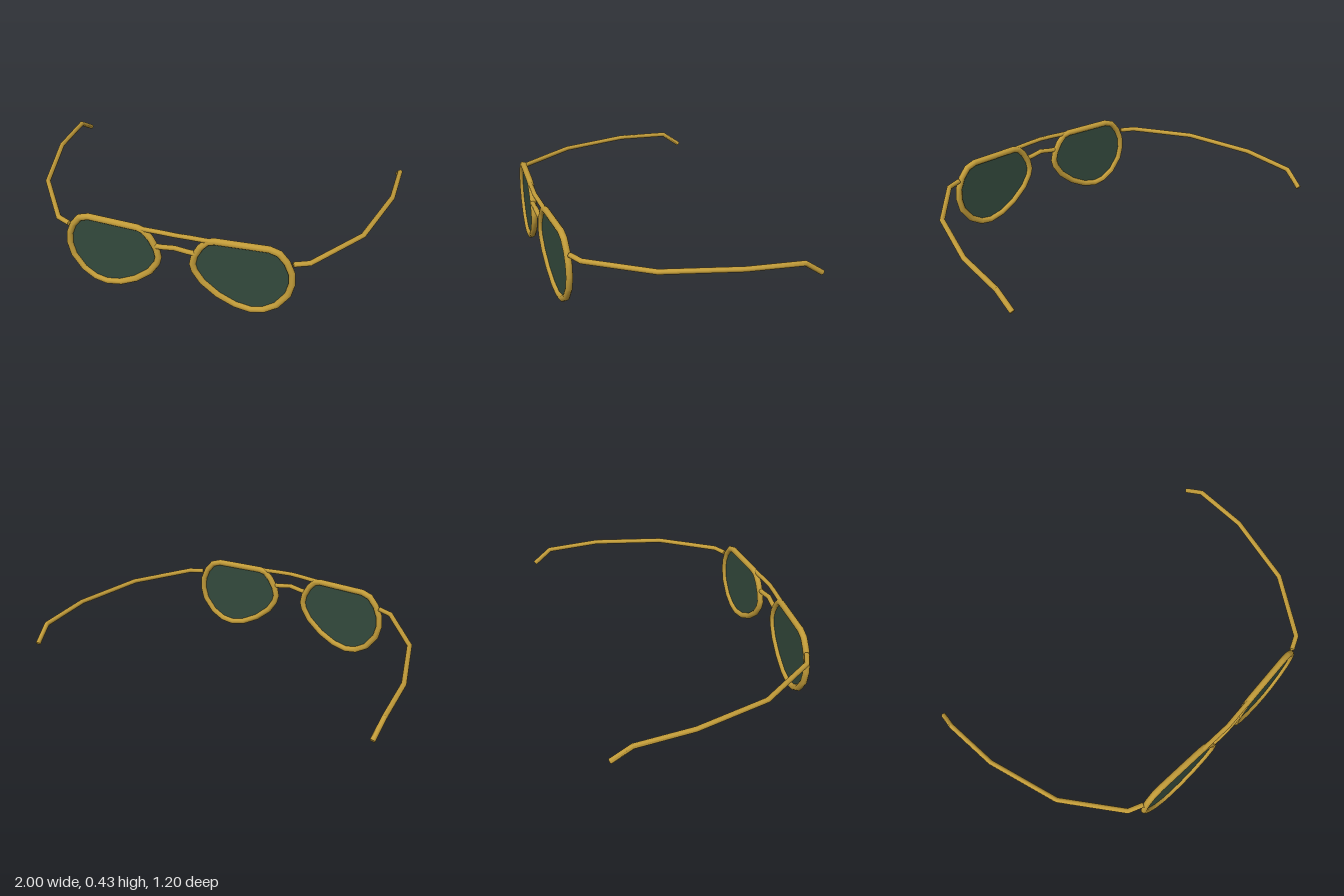
import * as THREE from 'three';
import { toCreasedNormals } from 'three/addons/utils/BufferGeometryUtils.js';

const SIDES = 12;
const V = (x, y, z) => new THREE.Vector3(x, y, z);

// The front bends gently back from the nose.
const frontZ = (x) => 0.58 - 0.06 * Math.abs(x);

// Round wire swept along straight segments with mitred corners.
function wire(points, radius, ref, closed = false) {
  const n = points.length;
  const pos = [], index = [];
  for (let i = 0; i < n; i++) {
    const p = points[i];
    let d1 = p.clone().sub(points[(i + n - 1) % n]).normalize();
    let d2 = points[(i + 1) % n].clone().sub(p).normalize();
    if (!closed && i === 0) d1 = d2.clone();
    if (!closed && i === n - 1) d2 = d1.clone();
    const t = d1.clone().add(d2).normalize();
    const u = ref.clone().addScaledVector(t, -ref.dot(t)).normalize();
    const v = t.clone().cross(u);
    const bend = d2.clone().sub(d1).normalize();
    const stretch = 1 / t.dot(d1) - 1;
    for (let j = 0; j < SIDES; j++) {
      const a = (j / SIDES) * Math.PI * 2;
      const o = u.clone().multiplyScalar(radius * Math.cos(a)).addScaledVector(v, radius * Math.sin(a));
      o.addScaledVector(bend, o.dot(bend) * stretch).add(p);
      pos.push(o.x, o.y, o.z);
    }
  }
  for (let i = 0; i < (closed ? n : n - 1); i++) {
    for (let j = 0; j < SIDES; j++) {
      const k = (j + 1) % SIDES, r = i * SIDES, s = ((i + 1) % n) * SIDES;
      index.push(r + j, r + k, s + k, r + j, s + k, s + j);
    }
  }
  if (!closed) {
    const e = (n - 1) * SIDES;
    for (let j = 1; j < SIDES - 1; j++) index.push(0, j + 1, j, e, e + j, e + j + 1);
  }
  const g = new THREE.BufferGeometry();
  g.setAttribute('position', new THREE.Float32BufferAttribute(pos, 3));
  g.setIndex(index);
  return toCreasedNormals(g, 0.56);
}

// Teardrop outline of one lens.
const OUTLINE = [
  [0.2, 0.41], [0.47, 0.41], [0.52, 0.393], [0.56, 0.345], [0.585, 0.285], [0.59, 0.22],
  [0.574, 0.15], [0.52, 0.073], [0.455, 0.031], [0.39, 0.019], [0.31, 0.036], [0.22, 0.083],
  [0.14, 0.152], [0.1, 0.215], [0.09, 0.255], [0.1, 0.305], [0.13, 0.362], [0.165, 0.4],
];

const ARM = [
  [0.588, 0.335, 0.538], [0.665, 0.335, 0.503], [0.876, 0.335, 0.2],
  [0.976, 0.335, -0.19], [0.986, 0.322, -0.49], [0.972, 0.25, -0.592],
];

export function createModel() {
  const gold = new THREE.MeshStandardMaterial({ color: 0xc09a38 });
  gold.name = 'gold metal';
  const green = new THREE.MeshStandardMaterial({ color: 0x33493c, side: THREE.DoubleSide });
  green.name = 'dark green glass';

  const model = new THREE.Group();
  model.name = 'sunglasses';
  const add = (name, geometry, material) => {
    const mesh = new THREE.Mesh(geometry, material);
    mesh.name = name;
    model.add(mesh);
  };

  for (const [side, s] of [['left', 1], ['right', -1]]) {
    // Rim
    const rim = OUTLINE.map(([x, y]) => V(s * x, y, frontZ(x)));
    add(side + 'Rim', wire(rim, 0.0175, V(0, 0, 1), true), gold);

    // Lens
    const shape = new THREE.Shape(OUTLINE.map(([x, y]) => new THREE.Vector2(s * x, y)));
    const lens = new THREE.ShapeGeometry(shape);
    const p = lens.attributes.position;
    for (let i = 0; i < p.count; i++) p.setZ(i, frontZ(p.getX(i)));
    lens.computeVertexNormals();
    add(side + 'Lens', lens, green);

    // Temple arm with its ear hook
    add(side + 'Arm', wire(ARM.map(([x, y, z]) => V(s * x, y, z)), 0.0135, V(0, 1, 0)), gold);
  }

  // Brow bar and nose bridge
  const across = (pts) => pts.map(([x, y]) => V(x, y, frontZ(x) + 0.003));
  add('browBar', wire(across([[-0.19, 0.409], [-0.08, 0.414], [0, 0.416], [0.08, 0.414], [0.19, 0.409]]),
    0.0125, V(0, 1, 0)), gold);
  add('noseBridge', wire(across([[-0.11, 0.322], [-0.065, 0.326], [0, 0.337], [0.065, 0.326], [0.11, 0.322]]),
    0.0135, V(0, 1, 0)), gold);

  return model;
}
